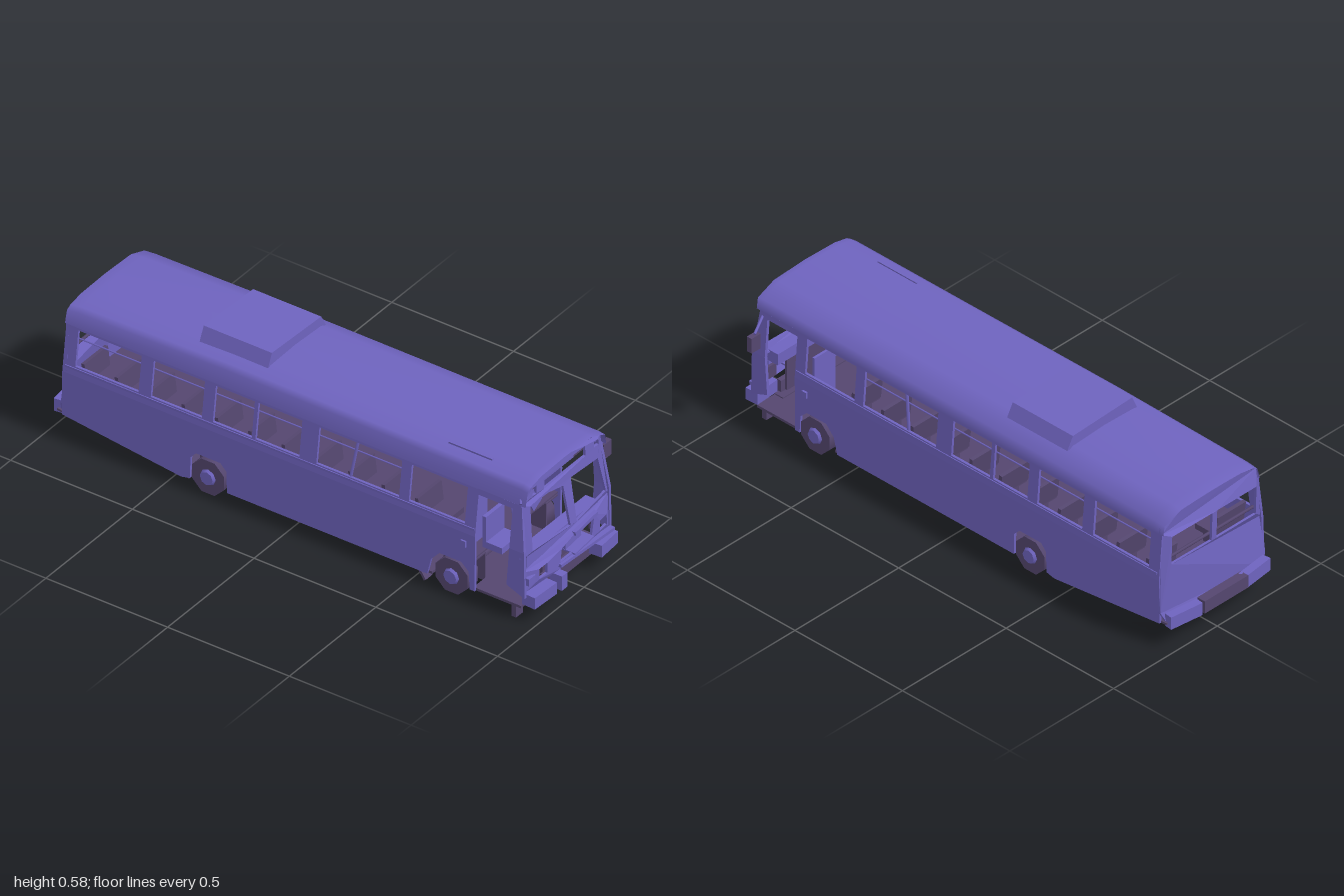
import * as THREE from 'three';

const paint = new THREE.MeshStandardMaterial({ color: 0x6e63be, side: THREE.DoubleSide });
paint.name = 'violet paint';
const dusk = new THREE.MeshStandardMaterial({ color: 0x54466f, side: THREE.DoubleSide });
dusk.name = 'dusky violet';
// Parts in the duller colour
const duskParts = /^seat|Tyre|Well|Floor|Deck|Axle$|Grille|Valance|Bulkhead|lampBack|sideMirror|rearBumper$|rearWindowRail|signRecess|tornFlap/;
const CX = -0.034; // body centre line

const rect = (a, b, c, d) => [[a, c], [b, c], [b, d], [a, d]];
const lerp = (v, table) => { // piecewise linear lookup
  for (let i = 1; i < table.length; i++) {
    const [a, p] = table[i - 1], [b, q] = table[i];
    if (v <= b || i === table.length - 1) return p + (q - p) * (v - a) / (b - a);
  }
};

export function createModel() {
  const bus = new THREE.Group();
  bus.name = 'bus';

  const add = (name, geo, x = 0, y = 0, z = 0, parent = bus) => {
    const m = new THREE.Mesh(geo, duskParts.test(name) ? dusk : paint);
    m.name = name;
    m.position.set(x, y, z);
    parent.add(m);
    return m;
  };
  // Box given by its limits
  const box = (name, x0, x1, y0, y1, z0, z1, parent = bus) =>
    add(name, new THREE.BoxGeometry(x1 - x0, y1 - y0, z1 - z0), (x0 + x1) / 2, (y0 + y1) / 2, (z0 + z1) / 2, parent);
  // Round rod between two points
  const rod = (name, a, b, r = 0.004) => {
    const p = new THREE.Vector3(...a), q = new THREE.Vector3(...b);
    const m = add(name, new THREE.CylinderGeometry(r, r, p.distanceTo(q), 6));
    m.position.copy(p).lerp(q, 0.5);
    m.quaternion.setFromUnitVectors(new THREE.Vector3(0, 1, 0), q.sub(p).normalize());
  };
  // Sheet cut from an outline with holes, then moved into place by a rule
  const sheet = (name, outline, holes, depth, place) => {
    const shape = new THREE.Shape(outline.map(p => new THREE.Vector2(...p)));
    shape.holes = holes.map(h => new THREE.Path(h.map(p => new THREE.Vector2(...p))));
    const geo = new THREE.ExtrudeGeometry(shape, { depth, bevelEnabled: false });
    const pos = geo.attributes.position;
    for (let i = 0; i < pos.count; i++) pos.setXYZ(i, ...place(pos.getX(i), pos.getY(i), pos.getZ(i)));
    geo.computeVertexNormals();
    add(name, geo);
  };

  // Side walls: lower skirt with wheel arches, upper band with windows
  const windows = [[0.48, 0.71], [0.1, 0.44], [-0.15, 0.03], [-0.325, -0.165], [-0.58, -0.37], [-0.89, -0.63]];
  for (const s of [1, -1]) {
    const side = s > 0 ? 'left' : 'right';
    const xs = s > 0 ? [[0.04, 0.216], [0.27, 0.219], [0.45, 0.204]] : [[0.04, -0.288], [0.27, -0.286], [0.45, -0.262]];
    const place = (z, y, w) => [lerp(y, xs) - s * w, y, z];
    const skirt = [
      [-0.94, 0.095], [-0.45, 0.037], [-0.415, 0.045], [-0.412, 0.13], [-0.39, 0.155], [-0.29, 0.155], [-0.265, 0.13], [-0.262, 0.045],
      [0.56, 0.045], [0.575, 0.11], [0.61, 0.148], [0.7, 0.148], [0.73, 0.12], [0.735, 0.05], [0.755, 0.05],
      [0.755, 0.27], [-0.94, 0.27]];
    sheet(side + 'Skirt', skirt, [], 0.01, place);
    sheet(side + 'WindowBand', rect(-0.94, 0.755, 0.27, 0.45),
      windows.map(([a, b]) => rect(a, b, 0.305, 0.442)), 0.01, place);
    // Belt trim and window rail
    const xb = lerp(0.295, xs), xr = lerp(0.405, xs) - s * 0.012;
    box(side + 'BeltTrim', xb - 0.003, xb + 0.003, 0.292, 0.3, -0.93, 0.75);
    rod(side + 'Handrail', [xr, 0.405, 0.44], [xr, 0.405, -0.9], 0.003);
    rod(side + 'WindowPost', [lerp(0.3, xs) - s * 0.01, 0.3, 0.235], [xr, 0.445, 0.255], 0.006);
    // Front corner pillar and header over the doorway
    sheet(side + 'FrontPillar', [[0.895, 0.28], [0.955, 0.28], [0.93, 0.45], [0.895, 0.45]], [], 0.012, place);
    sheet(side + 'DoorHeader', rect(0.75, 0.93, 0.43, 0.452), [], 0.012, place);
    sheet(side + 'FrontLowerPillar', [[0.885, 0.13], [0.96, 0.1], [0.955, 0.28], [0.895, 0.28]], [], 0.012, place);
    // Wheels with hubs: chunky, eight-sided
    for (const [end, z, y] of [['Front', 0.66, 0.075], ['Rear', -0.34, 0.078]]) {
      const x = s > 0 ? 0.187 : -0.257;
      const tyre = new THREE.CylinderGeometry(0.071, 0.071, 0.062, 8).rotateY(Math.PI / 8);
      add(side + end + 'Tyre', tyre, x, y, z).rotation.z = Math.PI / 2;
      add(side + end + 'Hub', new THREE.CylinderGeometry(0.026, 0.034, 0.014, 8), x + s * 0.034, y, z).rotation.z = -s * Math.PI / 2;
      // Wheel well lining
      const xi = x - s * 0.045, xo = x + s * 0.022;
      box(side + end + 'WellTop', Math.min(xi, xo), Math.max(xi, xo), 0.158, 0.163, z - 0.085, z + 0.085);
      box(side + end + 'WellWall', xi - 0.003, xi + 0.003, 0.05, 0.163, z - 0.085, z + 0.085);
    }
  }

  // Roof lofted along the body
  const section = [[-0.262, 0.45], [-0.25, 0.51], [-0.23, 0.525], [-0.17, 0.539], [-0.03, 0.543],
    [0.12, 0.535], [0.198, 0.498], [0.204, 0.45]];
  const stations = [[0.946, 0.88], [0.92, 0.95], [0.4, 0.96], [-0.3, 1], [-0.9, 0.85], [-0.946, 0.76]];
  const verts = [], index = [], n = section.length;
  stations.forEach(([z, k], j) => section.forEach(([x, y], i) => {
    verts.push(x, 0.45 + (y - 0.45) * k, z);
    if (i && j) {
      const d = j * n + i, c = d - 1, b = d - n, a = b - 1;
      index.push(a, b, c, b, d, c);
    }
  }));
  const roof = new THREE.BufferGeometry();
  roof.setAttribute('position', new THREE.Float32BufferAttribute(verts, 3));
  roof.setIndex(index);
  roof.computeVertexNormals();
  add('roof', roof);

  // Roof unit: box tapered towards its top
  const unit = new THREE.BoxGeometry(0.34, 0.06, 0.28);
  const up = unit.attributes.position;
  for (let i = 0; i < up.count; i++) if (up.getY(i) > 0) {
    up.setX(i, up.getX(i) * 0.84);
    if (up.getX(i) > 0) up.setY(i, 0.018);
  }
  unit.computeVertexNormals();
  add('roofUnit', unit, -0.022, 0.554, -0.305);
  box('roofVentStrip', -0.193, -0.186, 0.52, 0.536, 0.58, 0.76);

  // End panels, with corners swept back
  const cap = k => section.slice(1, -1).map(([x, y]) => [x, 0.45 + (y - 0.45) * k]).reverse();
  const sweep = x => Math.max(0, Math.abs(x - CX) - 0.2) * 0.5;
  const rearZ = [[0.1, -0.975], [0.2, -0.968], [0.3, -0.952], [0.44, -0.957], [0.52, -0.943]];
  sheet('rearPanel', [[-0.27, 0.1], [0.2, 0.1], [0.218, 0.14], [0.218, 0.28], [0.204, 0.45], ...cap(0.76), [-0.262, 0.45], [-0.285, 0.28], [-0.287, 0.14]],
    [rect(-0.235, -0.045, 0.32, 0.435), rect(-0.022, 0.17, 0.32, 0.435)], 0.01,
    (x, y, w) => [x, y, lerp(y, rearZ) + sweep(x) + w]);
  rod('rearWindowRail', [-0.24, 0.34, -0.935], [0.18, 0.34, -0.935], 0.006);

  const frontZ = [[0.1, 0.975], [0.25, 0.972], [0.43, 0.945], [0.53, 0.938]];
  const frontPlace = (x, y, w) => [x, y, lerp(y, frontZ) - sweep(x) - w];
  sheet('windscreenFrame', [[-0.286, 0.25], [0.218, 0.25], [0.204, 0.45], ...cap(0.88), [-0.262, 0.45]],
    [[[-0.245, 0.272], [-0.035, 0.262], [-0.045, 0.42], [-0.13, 0.438], [-0.232, 0.44]],
      [[0, 0.26], [0.185, 0.275], [0.155, 0.42], [0, 0.428]],
      rect(-0.15, 0.09, 0.465, 0.503), rect(-0.215, -0.192, 0.47, 0.5), rect(0.14, 0.165, 0.47, 0.49)], 0.01, frontPlace);
  box('signRecess', -0.22, 0.17, 0.46, 0.508, 0.9, 0.91);
  box('signBlind', -0.14, 0.06, 0.465, 0.492, 0.91, 0.915);

  // Battered nose panel with a torn opening and lamp recesses
  sheet('nosePanel', [[-0.27, 0.12], [-0.1, 0.125], [0.2, 0.12], [0.215, 0.2], [0.215, 0.252], [-0.283, 0.252], [-0.283, 0.2]],
    [[[-0.1, 0.15], [0.08, 0.148], [0.1, 0.235], [0.02, 0.228], [-0.09, 0.2]],
      rect(-0.222, -0.175, 0.15, 0.19), rect(0.13, 0.175, 0.15, 0.19)], 0.01, frontPlace);
  box('lampBackRight', -0.225, -0.17, 0.145, 0.195, 0.93, 0.94);
  box('lampBackLeft', 0.125, 0.18, 0.145, 0.195, 0.93, 0.94);
  box('radiatorBulkhead', -0.12, 0.1, 0.08, 0.25, 0.905, 0.915);
  box('engineBox', -0.03, 0.06, 0.15, 0.2, 0.915, 0.945).rotation.z = 0.08;
  box('looseNosePlate', -0.03, 0.08, 0.15, 0.156, 0.92, 0.985).rotation.z = 0.1;
  box('bentNoseBar', -0.11, 0.2, 0.128, 0.14, 0.965, 0.985).rotation.z = -0.06;
  box('tornNoseStrip', -0.02, 0.11, 0.222, 0.236, 0.965, 0.98).rotation.z = 0.12;
  box('tornScreenFlap', -0.21, -0.155, 0.41, 0.44, 0.93, 0.936).rotation.z = 0.5;
  box('sideMarkerRight', -0.278, -0.24, 0.15, 0.178, 0.945, 0.972);

  // Broken bumpers
  box('frontBumperRight', -0.272, -0.152, 0.062, 0.108, 0.94, 0.995).rotation.y = -0.05;
  box('frontBumperMiddle', -0.128, -0.095, 0.06, 0.118, 0.95, 1);
  box('frontBumperLeft', 0.108, 0.212, 0.06, 0.108, 0.94, 0.992).rotation.y = 0.06;
  box('frontGrille', -0.15, 0.108, 0.066, 0.112, 0.925, 0.945);
  box('frontValance', -0.21, 0.125, 0.044, 0.064, 0.9, 0.94);
  box('rearBumper', -0.15, 0.06, 0.085, 0.135, -1, -0.965);
  // Swept-back bumper ends
  for (const s of [1, -1])
    box('rearBumperCorner', CX + s * 0.17 - 0.068, CX + s * 0.17 + 0.068, 0.085, 0.135, -0.992, -0.96).rotation.y = -s * 0.12;

  // Floor and underside
  box('middleFloor', -0.28, 0.21, 0.045, 0.055, -0.26, 0.575);
  box('frontAxleFloor', -0.21, 0.14, 0.045, 0.055, 0.57, 0.75);
  box('rearAxleFloor', -0.21, 0.14, 0.045, 0.055, -0.43, -0.25);
  box('stepFloor', -0.28, 0.21, 0.05, 0.06, 0.745, 0.94);
  box('tailFloor', -0.28, 0.21, 0.066, 0.074, -0.968, -0.422).rotation.x = 0.117;
  box('cabinDeck', -0.28, 0.21, 0.168, 0.174, -0.94, 0.745);
  rod('frontAxle', [-0.25, 0.06, 0.66], [0.18, 0.06, 0.66], 0.012);
  rod('rearAxle', [-0.25, 0.06, -0.34], [0.18, 0.06, -0.34], 0.018);
  box('tornFlapRight', -0.278, -0.24, 0.002, 0.05, 0.525, 0.535).rotation.x = -0.6;
  box('tornFlapFrontRight', -0.28, -0.24, 0.005, 0.06, 0.9, 0.92);
  box('tornFlapFrontLeft', 0.165, 0.205, 0.013, 0.06, 0.9, 0.92);

  // Passenger seats in pairs
  for (let i = 0; i < 11; i++) for (const x of [-0.2, 0.13]) {
    const seat = new THREE.Group();
    seat.name = 'seat';
    box('seatCushion', -0.068, 0.068, 0.05, 0.072, -0.05, 0.04, seat);
    box('seatBack', -0.068, 0.068, 0.06, 0.145, -0.06, -0.046, seat).rotation.x = -0.12;
    box('seatBase', -0.05, 0.05, 0, 0.05, -0.03, 0.02, seat);
    seat.position.set(x, 0.172, 0.56 - i * 0.137);
    bus.add(seat);
  }

  // Driver's area: seat, partition, dashboard, steering wheel, grab poles
  box('driverSeatBack', -0.235, -0.13, 0.21, 0.325, 0.75, 0.765);
  box('driverSeat', -0.235, -0.13, 0.2, 0.225, 0.75, 0.83);
  box('cabPartition', -0.23, -0.13, 0.17, 0.353, 0.685, 0.695);
  box('doorPartition', 0.08, 0.18, 0.17, 0.353, 0.7, 0.71);
  box('dashboard', -0.26, 0.15, 0.21, 0.255, 0.9, 0.95);
  rod('grabPoleRight', [-0.168, 0.27, 0.84], [-0.175, 0.395, 0.82]);
  rod('grabPoleCentre', [-0.055, 0.17, 0.7], [-0.06, 0.38, 0.7]);

  // Side mirror on its arm
  rod('mirrorArm', [0.2, 0.433, 0.92], [0.272, 0.407, 0.89], 0.005);
  box('sideMirror', 0.251, 0.295, 0.342, 0.402, 0.882, 0.904);
  rod('rightMirrorStub', [-0.255, 0.47, 0.92], [-0.268, 0.462, 0.93], 0.005);
  box('rightSideMarker', -0.293, -0.284, 0.215, 0.24, 0.7, 0.72);
  box('leftSideMarker', 0.215, 0.227, 0.213, 0.237, 0.695, 0.715);

  return bus;
}
